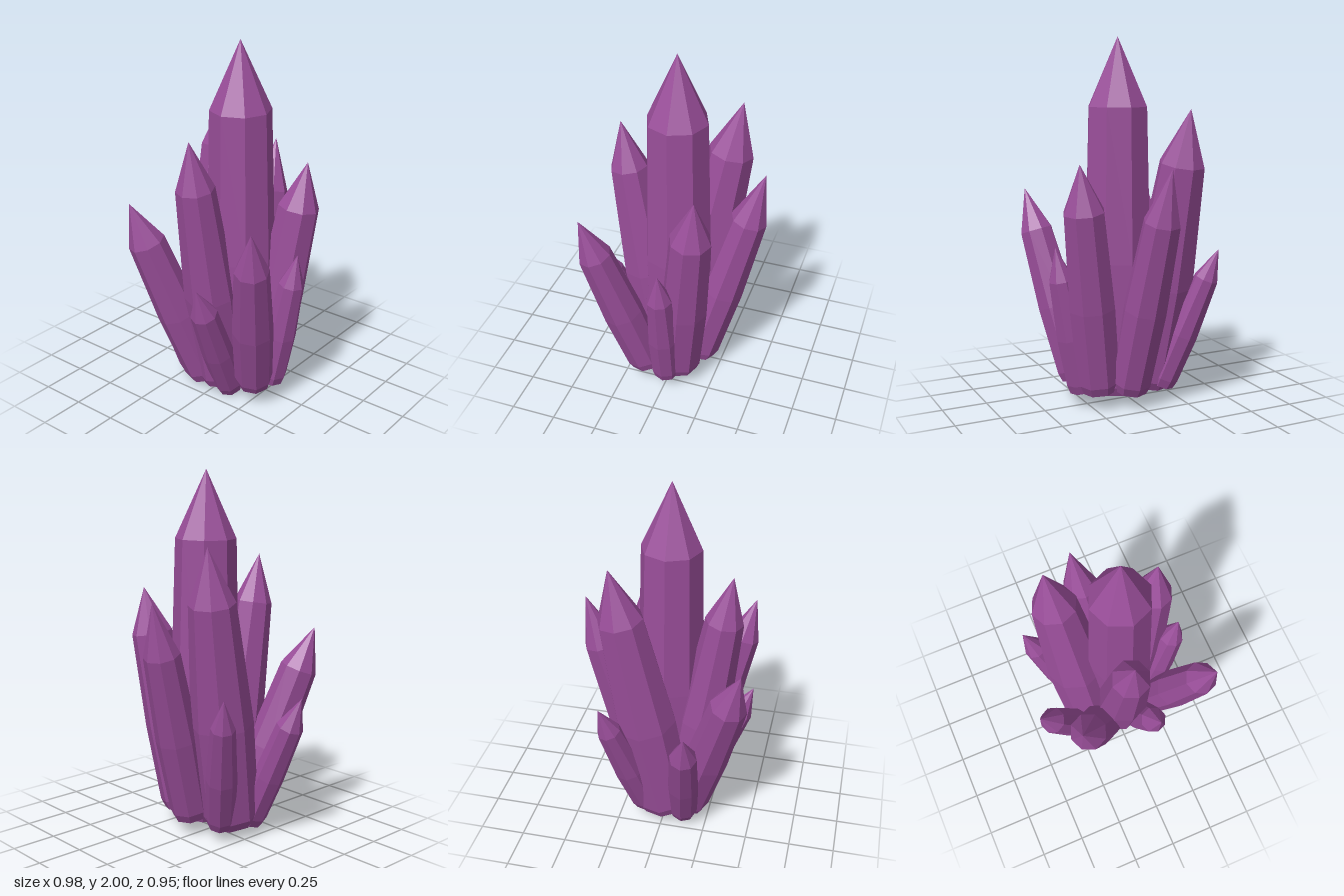
import * as THREE from 'three';

// name, base centre, tip, shoulder radius, widest body radius, shoulder height fraction
const CRYSTALS = [
  ['centralCrystal', [0.07, 0.07, -0.01], [0.06, 2.0, 0], 0.166, 0.188, 0.81],
  ['backLeftCrystal', [-0.125, 0.08, 0.01], [-0.24, 1.625, -0.265], 0.125, 0.17, 0.81],
  ['frontCrystal', [0.015, 0.06, 0.105], [-0.005, 1.53, 0.34], 0.105, 0.143, 0.82],
  ['backRightCrystal', [0.2, 0.1, -0.055], [0.365, 1.355, -0.19], 0.113, 0.13, 0.8],
  ['backCrystal', [0.05, 0.1, -0.125], [-0.03, 1.34, -0.455], 0.1, 0.12, 0.77],
  ['frontRightCrystal', [0.255, 0.12, 0.12], [0.445, 1.165, 0.41], 0.092, 0.112, 0.78],
  ['frontLeftCrystal', [-0.08, 0.06, 0.13], [-0.335, 1.145, 0.445], 0.102, 0.12, 0.79],
  ['leftCrystal', [-0.17, 0.06, 0.12], [-0.49, 0.815, 0.18], 0.075, 0.086, 0.78],
  ['smallBackLeftCrystal', [-0.16, 0.09, -0.1], [-0.4, 0.87, -0.3], 0.066, 0.085, 0.79],
  ['smallFrontCrystal', [0.09, 0.03, 0.125], [0.125, 0.775, 0.455], 0.074, 0.088, 0.78],
  ['smallRightCrystal', [0.28, 0.09, -0.005], [0.435, 0.9, -0.015], 0.07, 0.088, 0.78],
];

const UP = new THREE.Vector3(0, 1, 0);

// Eight-sided shaft with a chamfered foot, slight swell and pointed tip
function crystal([name, base, tip, shoulder, body, fraction], material) {
  const start = new THREE.Vector3(...base);
  const axis = new THREE.Vector3(...tip).sub(start);
  const length = axis.length();
  const profile = [
    [0, 0],
    [body * 0.82, 0],
    [body * 0.94, 0.05],
    [body, length * 0.38],
    [shoulder, length * fraction],
    [0, length],
  ].map(([r, y]) => new THREE.Vector2(r, y));
  const mesh = new THREE.Mesh(new THREE.LatheGeometry(profile, 8), material);
  mesh.name = name;
  mesh.position.copy(start);
  mesh.quaternion.setFromUnitVectors(UP, axis.normalize());
  return mesh;
}

export function createModel() {
  const group = new THREE.Group();
  group.name = 'crystalCluster';
  const material = new THREE.MeshStandardMaterial({ color: 0x9a4e9a, flatShading: true });
  for (const spec of CRYSTALS) group.add(crystal(spec, material));
  return group;
}
